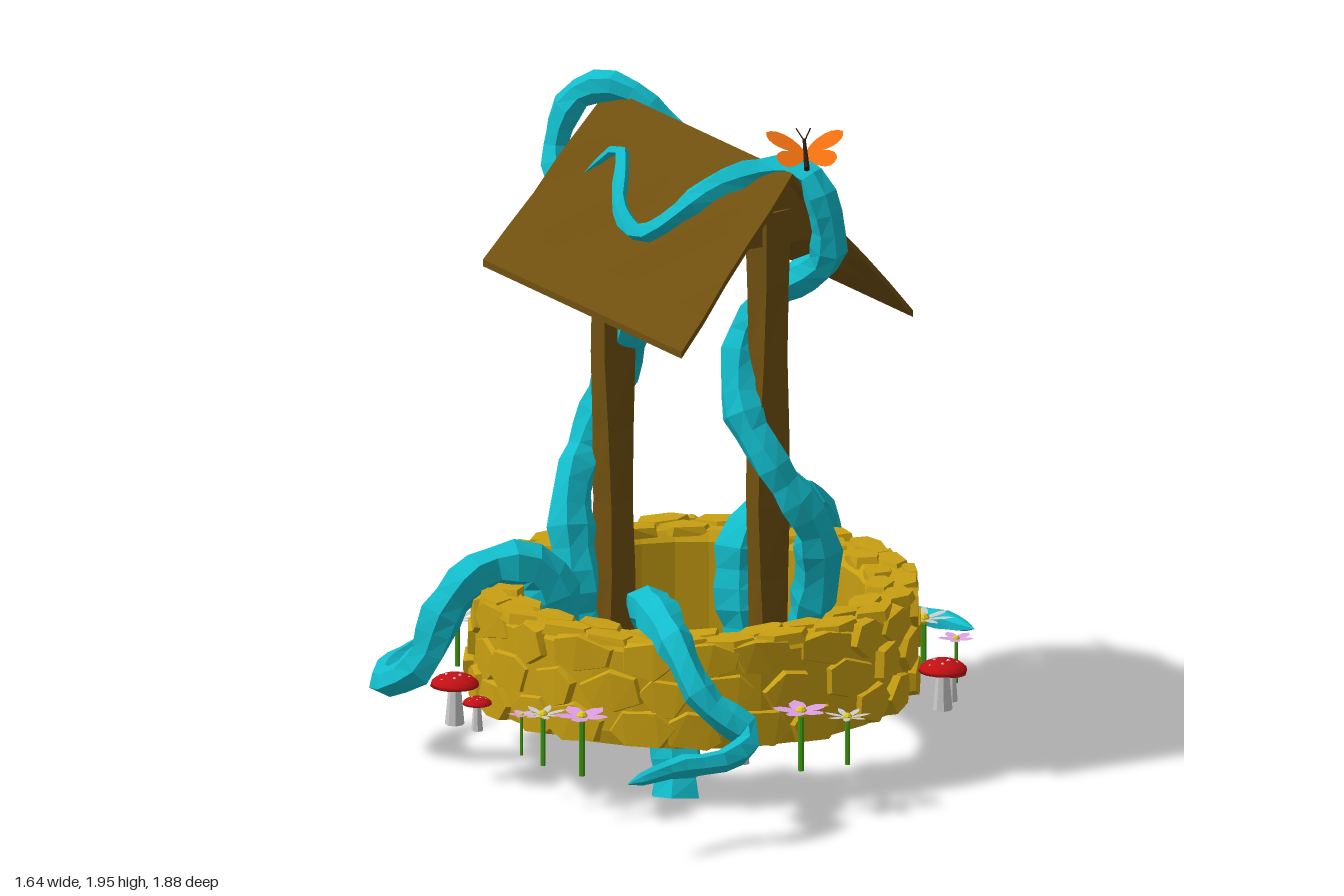
import * as THREE from 'three';
import { ConvexGeometry } from 'three/addons/geometries/ConvexGeometry.js';
import { mergeGeometries } from 'three/addons/utils/BufferGeometryUtils.js';

const V = (x, y, z) => new THREE.Vector3(x, y, z);
const mat = (color, flatShading = true) =>
  new THREE.MeshStandardMaterial({ color, flatShading, side: THREE.DoubleSide });
const GOLD = mat(0xc9a012), WOOD = mat(0x70500f), TEAL = mat(0x12bccb), RED = mat(0xc41014, false),
  GREY = mat(0xcccccc), PINK = mat(0xdda0e6), GREEN = mat(0x3f9a12), YELLOW = mat(0xe0cc20),
  ORANGE = mat(0xf07010), DARK = mat(0x2a1a10);

let seed = 7;
const rnd = () => (seed = (seed * 16807) % 2147483647) / 2147483647;
const jit = a => (rnd() * 2 - 1) * a;

function add(parent, name, geometry, material, x = 0, y = 0, z = 0) {
  const m = new THREE.Mesh(geometry, material);
  m.name = name;
  m.position.set(x, y, z);
  parent.add(m);
  return m;
}

// Roof frame: s runs along the ridge, t across it (+ to the front)
const DX = 0.943, DZ = 0.333, MX = 0.055, MZ = -0.075, ROOF_TURN = -Math.atan2(DZ, DX);
const onRoof = (s, t, lift = 0.02) =>
  V(MX + DX * s - DZ * t, 1.865 - 1.19 * Math.abs(t) + lift, MZ + DZ * s + DX * t);

// Irregular bevelled stone; place(u, v, h) maps the flat outline onto a surface
function stone(u, v, ru, rv, place) {
  const pts = [], n = 5 + Math.floor(rnd() * 2), a0 = rnd() * 6;
  const lift = 0.75 + rnd() * 0.25, tilt = jit(0.25);
  for (let i = 0; i < n; i++) {
    const a = a0 + (i + jit(0.25)) / n * Math.PI * 2, c = Math.cos(a), s = Math.sin(a);
    pts.push(place(u + c * ru, v + s * rv, 0));
    pts.push(place(u + c * ru * 0.84, v + s * rv * 0.84, lift + tilt * c));
  }
  return new ConvexGeometry(pts);
}

function wellRing(root) {
  const g = new THREE.Group();
  g.name = 'wellRing';
  g.position.set(0.03, 0, -0.075);
  root.add(g);
  const profile = [[0.5, 0.22], [0.62, 0.22], [0.63, 0.26], [0.63, 0.5], [0.61, 0.53], [0.51, 0.53], [0.49, 0.5], [0.5, 0.22]]
    .map(p => new THREE.Vector2(...p));
  add(g, 'ringCore', new THREE.LatheGeometry(profile, 32), GOLD);
  const polar = (a, r, y) => V(Math.cos(a) * r, y, Math.sin(a) * r);
  const clampY = y => THREE.MathUtils.clamp(y, 0.215, 0.535);
  const stones = [], cols = 22, da = Math.PI * 2 / cols;
  for (let row = 0; row < 3; row++)
    for (let i = 0; i < cols; i++)
      stones.push(stone((i + row * 0.5 + jit(0.15)) * da, 0.272 + row * 0.106 + jit(0.012), da * (0.54 + jit(0.1)), 0.068,
        (u, v, h) => polar(u, 0.61 + h * 0.04, clampY(v))));
  for (let i = 0; i < cols * 2; i++) {
    const outer = i % 2;
    stones.push(stone((i / 2 + jit(0.15)) * da, outer ? 0.595 : 0.53, da * 0.55, 0.05,
      (u, v, h) => polar(u, THREE.MathUtils.clamp(v, 0.49, 0.645), 0.515 + h * 0.032)));
  }
  add(g, 'stones', mergeGeometries(stones), GOLD);
}

function roofAndPosts(root) {
  // Two sloping slabs, wider at the eave than at the ridge
  for (const side of [1, -1]) {
    const geo = new THREE.BoxGeometry(1, 0.02, 1, 8, 1, 5), p = geo.attributes.position;
    for (let i = 0; i < p.count; i++) {
      const k = p.getZ(i) + 0.5, sx = p.getX(i);
      const wave = 0.007 * Math.sin(sx * 17 + k * 9 + side) * Math.sin(k * Math.PI);
      const q = onRoof(sx * (0.99 + 0.08 * k) - 0.015 * k, side * k * 0.388, p.getY(i) + wave);
      p.setXYZ(i, q.x, q.y, q.z);
    }
    add(root, side > 0 ? 'roofFront' : 'roofBack', geo, WOOD);
  }
  // Gable triangles
  const tri = new THREE.Shape([[-0.18, 1.65], [0.18, 1.65], [0, 1.86]].map(p => new THREE.Vector2(...p)));
  for (const s of [-0.44, 0.4]) {
    const q = onRoof(s, 0);
    add(root, 'gable', new THREE.ExtrudeGeometry(tri, { depth: 0.03, bevelEnabled: false }), WOOD, q.x, 0, q.z)
      .rotation.y = ROOF_TURN + Math.PI / 2;
  }
  // Slightly twisted, uneven posts
  for (const [x, z, w] of [[-0.385, -0.225, 0.4], [0.42, 0.075, 2]]) {
    const geo = new THREE.BoxGeometry(0.088, 1.53, 0.088, 1, 7, 1), p = geo.attributes.position;
    for (let i = 0; i < p.count; i++) {
      const y = p.getY(i), a = 0.18 * Math.sin(y * 4 + w), k = 1 + 0.1 * Math.sin(y * 7 + w);
      const px = p.getX(i) * k, pz = p.getZ(i) * k;
      p.setXYZ(i, px * Math.cos(a) - pz * Math.sin(a), y, px * Math.sin(a) + pz * Math.cos(a));
    }
    add(root, 'post', geo, WOOD, x, 0.985, z).rotation.y = ROOF_TURN;
  }
}

// Six-sided tentacle, tapering by the power law to a point, lumpy, with a capped root
function vine(root, name, points, radius, power, segs) {
  const curve = new THREE.CatmullRomCurve3(points), N = 6;
  const geo = new THREE.TubeGeometry(curve, segs, 1, N), p = geo.attributes.position;
  for (let i = 0; i <= segs; i++) {
    const t = i / segs, c = curve.getPointAt(t);
    const r = i === 0 ? 0 : radius * Math.pow(1 - t, power) * (1 + 0.1 * Math.sin(i * 2.3));
    const at = i === 0 ? curve.getPointAt(1 / segs) : c;
    for (let j = 0; j <= N; j++) {
      const k = i * (N + 1) + j, lump = 1 + 0.12 * Math.sin((j % N) * 2.1 + i * 0.7);
      const v = V(0, 0, 0).fromBufferAttribute(p, k).sub(c).multiplyScalar(r * lump).add(at);
      p.setXYZ(k, v.x, v.y, v.z);
    }
  }
  add(root, name, geo, TEAL);
}

function mushroom(root, x, z, r, top) {
  const g = new THREE.Group();
  g.name = 'mushroom';
  g.position.set(x, 0, z);
  root.add(g);
  const h = r * 0.5, base = top - h;
  add(g, 'mushroomStem', new THREE.CylinderGeometry(r * 0.25, r * 0.4, base - 0.21, 8), GREY, 0, (base + 0.21) / 2, 0);
  const cap = [[0, 0.1], [0.7, 0.02], [1, 0], [0.96, 0.15], [0.75, 0.32], [0.4, 0.46], [0, 0.5]].map(p => new THREE.Vector2(p[0] * r, p[1] * r));
  add(g, 'mushroomCap', new THREE.LatheGeometry(cap, 16), RED, 0, base, 0);
  for (let i = 0; i < 9; i++) {
    const a = i * 2.4, d = 0.28 + 0.06 * i;
    add(g, 'capSpot', new THREE.SphereGeometry(r * 0.08, 6, 4), GREY,
      Math.cos(a) * d * r, base + r * (0.5 - 0.5 * d * d), Math.sin(a) * d * r);
  }
}

function flower(root, x, z, r, y, white) {
  const g = new THREE.Group();
  g.name = 'flower';
  g.position.set(x, y, z);
  root.add(g);
  const n = white ? 7 : 5, w = white ? 0.2 : 0.4;
  const s = new THREE.Shape();
  s.moveTo(0, 0);
  s.bezierCurveTo(w * 0.6 * r, 0.2 * r, w * 1.3 * r, 0.7 * r, 0, r);
  s.bezierCurveTo(-w * 1.3 * r, 0.7 * r, -w * 0.6 * r, 0.2 * r, 0, 0);
  const petal = new THREE.ShapeGeometry(s, 4).rotateX(-Math.PI / 2 + 0.12);
  for (let i = 0; i < n; i++)
    add(g, 'petal', petal, white ? GREY : PINK).rotation.y = i / n * Math.PI * 2 + x * 5;
  add(g, 'flowerCentre', new THREE.SphereGeometry(r * 0.2, 8, 5), YELLOW);
  const len = y - 0.17, sr = r * 0.1;
  add(g, 'flowerStem', new THREE.CylinderGeometry(sr, sr, len, 6), GREEN, 0, -len / 2, 0);
}

function butterfly(root) {
  const g = new THREE.Group();
  g.name = 'butterfly';
  g.position.set(0.545, 1.93, 0.06);
  g.lookAt(0.49, 1.965, 0);
  root.add(g);
  add(g, 'butterflyBody', new THREE.CylinderGeometry(0.005, 0.009, 0.13, 6).rotateX(Math.PI / 2), DARK);
  const s = new THREE.Shape();
  s.moveTo(0, 0.01);
  s.bezierCurveTo(0.03, 0.07, 0.09, 0.09, 0.115, 0.06);
  s.bezierCurveTo(0.12, 0.02, 0.08, 0, 0.05, 0);
  s.bezierCurveTo(0.1, -0.01, 0.1, -0.06, 0.07, -0.075);
  s.bezierCurveTo(0.04, -0.08, 0.01, -0.04, 0, -0.01);
  for (const m of [1, -1]) {
    const wing = add(g, 'wing', new THREE.ShapeGeometry(s, 6).rotateX(Math.PI / 2).rotateZ(0.3), ORANGE);
    wing.scale.x = m;
    const feeler = add(g, 'feeler', new THREE.CylinderGeometry(0.002, 0.002, 0.06, 4).rotateX(Math.PI / 2), DARK, m * 0.01, 0.005, 0.08);
    feeler.rotation.y = m * 0.35;
  }
}

export function createModel() {
  const root = new THREE.Group();
  root.name = 'overgrownWell';
  wellRing(root);
  roofAndPosts(root);

  // Tentacles spilling over the rim
  vine(root, 'frontLeftVine', [V(0.33, 0, 0.385), V(0.3, 0.2, 0.35), V(0.21, 0.45, 0.31), V(0.21, 0.59, 0.36), V(0.33, 0.61, 0.46),
    V(0.46, 0.56, 0.54), V(0.58, 0.43, 0.56), V(0.69, 0.33, 0.5), V(0.7, 0.29, 0.62), V(0.62, 0.28, 0.73), V(0.59, 0.27, 0.93)], 0.075, 0.45, 32);
  vine(root, 'frontRightVine', [V(-0.33, 0.19, 0.26), V(-0.27, 0.45, 0.19), V(-0.3, 0.59, 0.24), V(-0.39, 0.59, 0.36), V(-0.44, 0.48, 0.48),
    V(-0.47, 0.34, 0.54), V(-0.57, 0.27, 0.56), V(-0.67, 0.26, 0.45), V(-0.705, 0.3, 0.22)], 0.085, 0.5, 26);
  vine(root, 'backVine', [V(-0.03, 0.22, -0.42), V(-0.05, 0.42, -0.4), V(-0.06, 0.57, -0.44), V(-0.06, 0.61, -0.56), V(-0.08, 0.59, -0.74),
    V(-0.08, 0.46, -0.81), V(-0.04, 0.33, -0.82), V(0.08, 0.27, -0.84), V(0.22, 0.26, -0.92), V(0.41, 0.27, -0.88)], 0.09, 0.5, 28);
  // Vines climbing the posts and running along the roof
  vine(root, 'rightPostVine', [V(-0.4, 0.25, -0.1), V(-0.41, 0.5, -0.08), V(-0.46, 0.68, -0.13), V(-0.49, 0.82, -0.24), V(-0.43, 1.02, -0.3),
    V(-0.33, 1.2, -0.24), V(-0.28, 1.36, -0.15), V(-0.33, 1.5, -0.12), V(-0.47, 1.58, -0.12), V(-0.54, 1.7, -0.16), V(-0.49, 1.85, -0.19),
    onRoof(-0.43, 0, 0.03), onRoof(-0.28, -0.12, 0.04), onRoof(-0.08, -0.22, 0.04), onRoof(0.06, -0.2, 0.04),
    onRoof(0.2, -0.12, 0.035), onRoof(0.34, -0.22)], 0.066, 0.45, 52);
  vine(root, 'leftPostVine', [V(0.44, 0.25, -0.04), V(0.47, 0.5, -0.04), V(0.54, 0.67, 0), V(0.56, 0.82, 0.04), V(0.48, 1, 0.12),
    V(0.37, 1.18, 0.14), V(0.33, 1.38, 0.05), V(0.42, 1.5, -0.01), V(0.56, 1.6, -0.01), V(0.59, 1.74, 0.02), V(0.54, 1.87, 0.04),
    onRoof(0.41, -0.03, 0.04), onRoof(0.27, 0.09, 0.05), onRoof(0.08, 0.24, 0.05), onRoof(-0.08, 0.22, 0.05),
    onRoof(-0.26, 0.11, 0.04), onRoof(-0.36, 0.17)], 0.066, 0.45, 52);

  for (const m of [[-0.15, -0.825, 0.075, 0.36], [0.705, -0.365, 0.07, 0.36], [0.675, -0.445, 0.04, 0.31], [-0.72, -0.165, 0.097, 0.41],
    [-0.655, -0.225, 0.035, 0.3], [0.595, 0.405, 0.042, 0.31], [-0.29, 0.615, 0.07, 0.36], [-0.2, 0.625, 0.042, 0.31]]) mushroom(root, ...m);
  for (const f of [[0.315, -0.765, 0.09, 0.31, true], [0.49, -0.695, 0.055, 0.3], [-0.49, -0.615, 0.085, 0.345], [-0.585, -0.485, 0.05, 0.29],
    [-0.72, 0.065, 0.075, 0.31, true], [0.75, 0.125, 0.07, 0.31, true], [0.685, 0.255, 0.085, 0.345], [-0.03, 0.635, 0.04, 0.29],
    [0.08, 0.675, 0.075, 0.32, true], [0.23, 0.685, 0.085, 0.345]]) flower(root, ...f);
  butterfly(root);
  return root;
}
